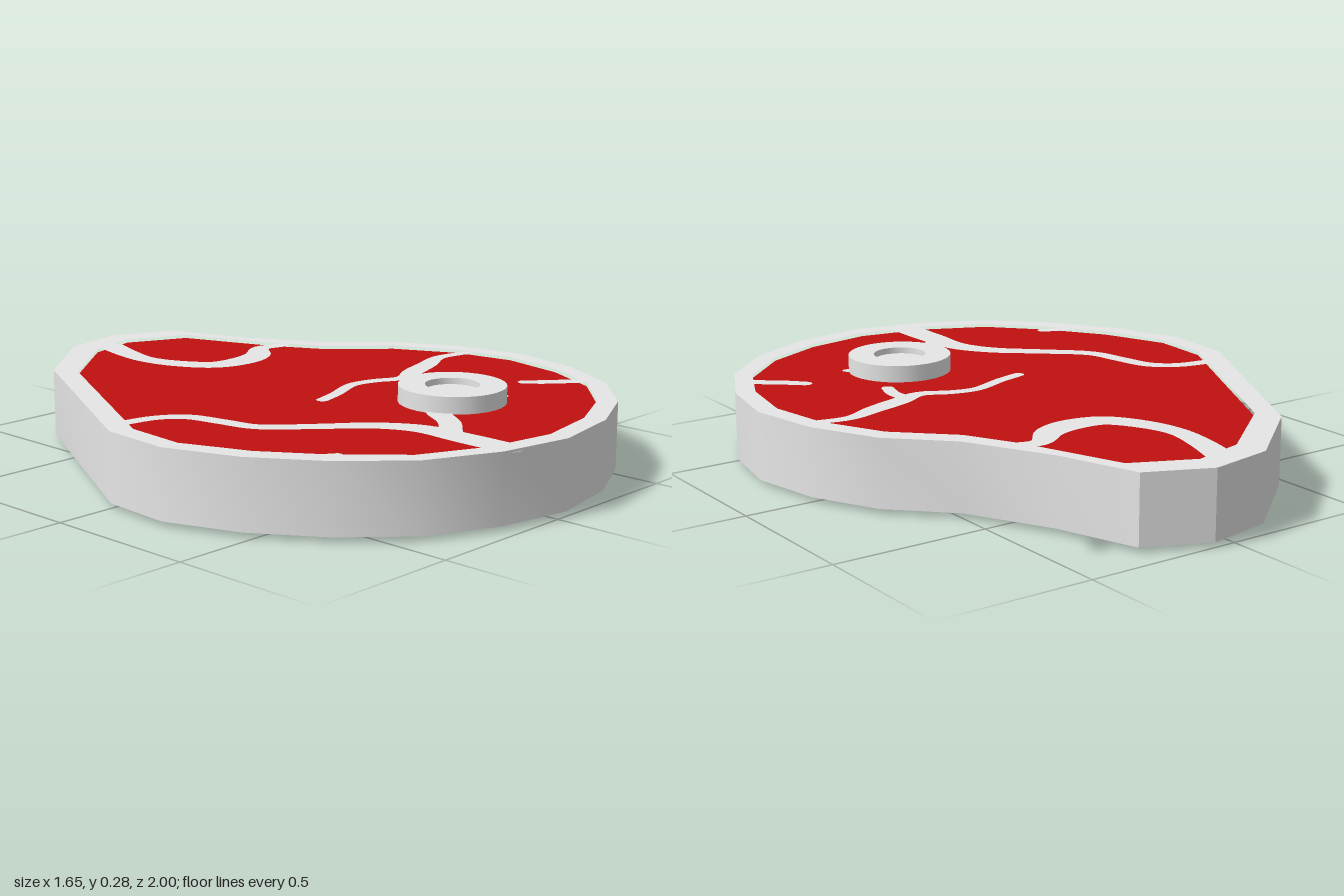
import * as THREE from 'three';
import { toCreasedNormals, mergeGeometries } from 'three/addons/utils/BufferGeometryUtils.js';

const fat = new THREE.MeshStandardMaterial({ color: 0xe6e6e6 });
fat.name = 'pale fat';
const red = new THREE.MeshStandardMaterial({ color: 0xc01010 });
red.name = 'red meat';

// Outlines as [x, z]
const OUTER = [[0.07, -1], [0.27, -0.91], [0.36, -0.65], [0.5, -0.385], [0.675, -0.21], [0.78, 0],
  [0.825, 0.235], [0.78, 0.47], [0.675, 0.68], [0.5, 0.85], [0.285, 0.955], [0.04, 1],
  [-0.2, 0.955], [-0.425, 0.85], [-0.6, 0.68], [-0.74, 0.47], [-0.825, 0.235], [-0.81, 0],
  [-0.425, -0.725], [-0.145, -0.96]];
const INNER = [[0.055, -0.91], [0.25, -0.82], [0.37, -0.5], [0.46, -0.33], [0.625, -0.17], [0.725, 0.03],
  [0.76, 0.235], [0.72, 0.45], [0.63, 0.64], [0.46, 0.8], [0.26, 0.895], [0.04, 0.935],
  [-0.19, 0.895], [-0.395, 0.8], [-0.55, 0.635], [-0.675, 0.45], [-0.76, 0.235], [-0.745, 0.03],
  [-0.385, -0.65], [-0.12, -0.865]];

// Marbling lines as [x, z, width]
const TOP_VEINS = [
  [[-0.03, -0.9, 0.09], [-0.065, -0.78, 0.08], [-0.085, -0.65, 0.07], [-0.055, -0.53, 0.08], [0.02, -0.425, 0.09],
    [0.13, -0.405, 0.1], [0.22, -0.43, 0.09], [0.31, -0.5, 0.06], [0.39, -0.48, 0.05]],
  [[-0.73, -0.07, 0.05], [-0.59, -0.04, 0.05], [-0.52, 0.02, 0.055], [-0.49, 0.13, 0.055], [-0.46, 0.25, 0.055],
    [-0.34, 0.37, 0.06], [-0.21, 0.49, 0.07], [-0.145, 0.61, 0.085], [-0.14, 0.77, 0.1], [-0.14, 0.92, 0.1]],
  [[-0.12, 0.7, 0.07], [-0.03, 0.62, 0.07], [0.03, 0.53, 0.075], [0.1, 0.47, 0.08]],
  [[-0.09, 0.165, 0.04], [0, 0.14, 0.04], [0.125, 0.095, 0.04], [0.21, 0.11, 0.045], [0.3, 0.15, 0.05],
    [0.4, 0.115, 0.07], [0.51, 0.08, 0.065], [0.62, 0.04, 0.045], [0.74, 0.06, 0.04]],
  [[0.36, 0.13, 0.05], [0.365, 0.2, 0.045], [0.345, 0.27, 0.04]],
  [[0.53, 0.47, 0.045], [0.58, 0.52, 0.05], [0.66, 0.585, 0.05]],
  [[-0.6, 0.6, 0.05], [-0.555, 0.61, 0.04], [-0.52, 0.625, 0.03]],
  [[0.3, 0.5, 0.04], [0.335, 0.535, 0.035]],
];
const BOTTOM_VEINS = [
  [[0.34, -0.8, 0.06], [0.27, -0.68, 0.06], [0.235, -0.45, 0.045], [0.2, -0.12, 0.045]],
  [[0.69, -0.02, 0.08], [0.52, 0.02, 0.08], [0.34, 0.13, 0.075], [0.16, 0.09, 0.065], [0.03, -0.01, 0.06],
    [-0.12, -0.06, 0.06], [-0.29, -0.09, 0.06], [-0.37, -0.26, 0.06], [-0.33, -0.47, 0.06], [-0.32, -0.72, 0.06]],
  [[0.16, 0.09, 0.07], [0.12, 0.22, 0.06], [0.12, 0.34, 0.06]],
  [[0.74, 0.42, 0.06], [0.63, 0.395, 0.06], [0.53, 0.42, 0.055], [0.43, 0.5, 0.05], [0.37, 0.485, 0.04]],
  [[0.27, 0.77, 0.05], [0.155, 0.81, 0.06], [0.06, 0.92, 0.06]],
  [[-0.47, 0.74, 0.07], [-0.365, 0.56, 0.06], [-0.395, 0.45, 0.05], [-0.52, 0.34, 0.045], [-0.66, 0.21, 0.045], [-0.77, 0.09, 0.05]],
];

const toPoints = (list) => list.map(([x, z]) => new THREE.Vector2(x, -z));

// Extrudes a shape upwards from y0 to y1
function slab(shape, y0, y1) {
  const geo = new THREE.ExtrudeGeometry(shape, { depth: y1 - y0, bevelEnabled: false });
  geo.rotateX(-Math.PI / 2).translate(0, y0, 0);
  return toCreasedNormals(geo, 0.5);
}

// Flat ribbon of varying width with round ends, drawn in x and -z
function ribbon(line) {
  const curve = new THREE.CatmullRomCurve3(line.map(([x, z, w]) => new THREE.Vector3(x, -z, w)));
  const n = (line.length - 1) * 5;
  const pos = [], index = [];
  for (let i = 0; i <= n; i++) {
    const p = curve.getPoint(i / n), t = curve.getTangent(i / n);
    const k = p.z / 2 / Math.hypot(t.x, t.y);
    pos.push(p.x - t.y * k, p.y + t.x * k, 0, p.x + t.y * k, p.y - t.x * k, 0);
    if (i < n) index.push(2 * i, 2 * i + 1, 2 * i + 2, 2 * i + 1, 2 * i + 3, 2 * i + 2);
  }
  const strip = new THREE.BufferGeometry();
  strip.setAttribute('position', new THREE.Float32BufferAttribute(pos, 3));
  strip.setIndex(index);
  strip.computeVertexNormals();
  const caps = [line[0], line[line.length - 1]].map(([x, z, w]) =>
    new THREE.CircleGeometry(w / 2, 12).translate(x, -z, 0).deleteAttribute('uv'));
  return mergeGeometries([strip, ...caps]);
}

export function createModel() {
  const group = new THREE.Group();
  const add = (name, geo, mat) => {
    const mesh = new THREE.Mesh(geo, mat);
    mesh.name = name;
    group.add(mesh);
    return mesh;
  };

  // Fat rim around the edge
  const rim = new THREE.Shape(toPoints(OUTER));
  rim.holes.push(new THREE.Path(toPoints(INNER)));
  add('fatRim', slab(rim, 0.015, 0.232), fat);

  // Meat, slightly sunk inside the rim
  add('meat', slab(new THREE.Shape(toPoints(INNER)), 0.026, 0.221), red);

  // Marbling on both faces
  const top = mergeGeometries(TOP_VEINS.map(ribbon));
  add('topMarbling', top.rotateX(-Math.PI / 2).translate(0, 0.224, 0), fat);
  const mirrored = BOTTOM_VEINS.map((line) => line.map(([x, z, w]) => [x, -z, w]));
  const bottom = mergeGeometries(mirrored.map(ribbon));
  add('bottomMarbling', bottom.rotateX(Math.PI / 2).translate(0, 0.023, 0), fat);

  // Round bone with a sunken centre
  const profile = [[0, 0.01], [0.085, 0.01], [0.085, 0], [0.168, 0], [0.168, 0.275],
    [0.085, 0.275], [0.085, 0.255], [0, 0.255]].map(([r, y]) => new THREE.Vector2(r, y));
  const bone = add('bone', toCreasedNormals(new THREE.LatheGeometry(profile, 32), 0.5), fat);
  bone.position.set(0.182, 0, 0.457);

  return group;
}
